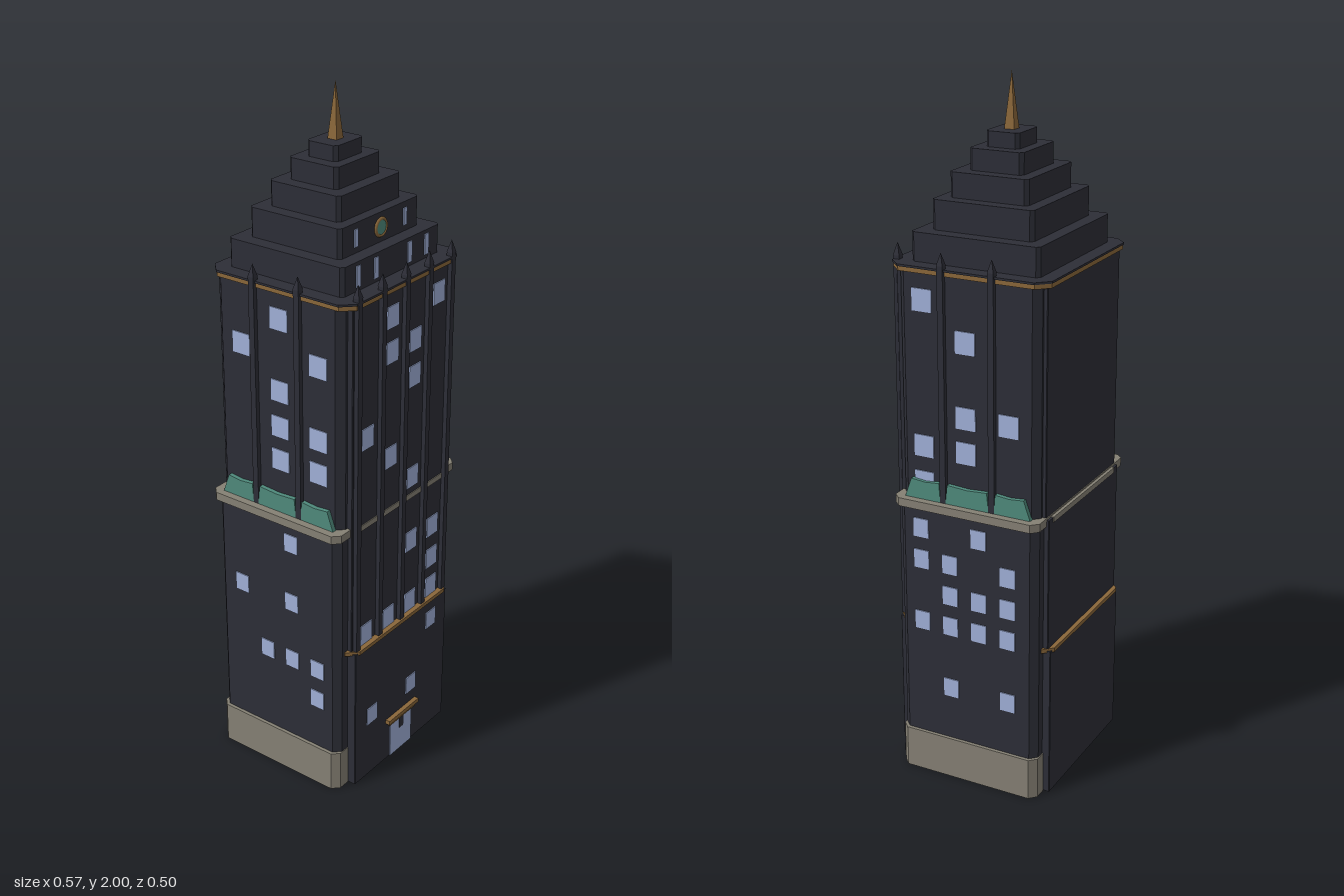
import * as THREE from 'three';

const mat = (name, color) => {
  const m = new THREE.MeshStandardMaterial({ color });
  m.name = name;
  return m;
};

export function createModel() {
  const tower = new THREE.Group();
  tower.name = 'tower';
  const dark = mat('dark stone', 0x2d2e37);
  const stone = mat('pale stone', 0x858074);
  const gold = mat('bronze', 0x8a673a);
  const glass = mat('window glass', 0xa0b0d8);
  const green = mat('green copper', 0x4f8a7c);

  const add = (name, geo, material, x = 0, y = 0, z = 0) => {
    const m = new THREE.Mesh(geo, material);
    m.name = name;
    m.position.set(x, y, z);
    tower.add(m);
    return m;
  };

  // Block with chamfered plan corners: half width, back z, front z, bottom, top, chamfer
  const block = (name, material, hx, z0, z1, y0, y1, c) => {
    const s = new THREE.Shape([
      [-hx + c, -z1], [hx - c, -z1], [hx, -z1 + c], [hx, -z0 - c],
      [hx - c, -z0], [-hx + c, -z0], [-hx, -z0 - c], [-hx, -z1 + c],
    ].map(([a, b]) => new THREE.Vector2(a, b)));
    const g = new THREE.ExtrudeGeometry(s, { depth: y1 - y0, bevelEnabled: false });
    return add(name, g.rotateX(-Math.PI / 2), material, 0, y0, 0);
  };

  // Base and shaft: chamfered sides crossed by a front-to-back slab
  block('baseSides', stone, 0.28, -0.225, 0.21, 0, 0.125, 0.02);
  block('lowerSides', dark, 0.27, -0.222, 0.208, 0.125, 0.84, 0.02);
  block('baseSlab', dark, 0.225, -0.245, 0.236, 0.003, 0.455, 0.002);
  block('middleSlab', dark, 0.225, -0.237, 0.222, 0.455, 0.85, 0.002);
  block('upperSides', dark, 0.252, -0.217, 0.205, 0.85, 1.5, 0.02);
  block('upperSlab', dark, 0.225, -0.228, 0.222, 0.85, 1.5, 0.002);

  // Bands and roof edge
  block('lowerBand', gold, 0.24, -0.25, 0.24, 0.45, 0.462, 0.03);
  block('ledge', stone, 0.287, -0.23, 0.217, 0.832, 0.856, 0.02);
  block('ledgeFace', stone, 0.2, -0.239, 0.225, 0.836, 0.852, 0.002);
  block('upperBand', gold, 0.256, -0.238, 0.232, 1.496, 1.509, 0.033);
  block('roofEdge', dark, 0.26, -0.24, 0.235, 1.509, 1.515, 0.035);

  // Stepped crown: half width, back, front, bottom, top
  [
    [0.216, -0.198, 0.182, 1.51, 1.595],
    [0.174, -0.159, 0.141, 1.595, 1.677],
    [0.135, -0.123, 0.109, 1.677, 1.746],
    [0.096, -0.088, 0.071, 1.746, 1.805],
    [0.06, -0.057, 0.041, 1.805, 1.847],
  ].forEach(([hx, z0, z1, y0, y1]) => block('crownTier', dark, hx, z0, z1, y0, y1, 0.01));
  const spire = new THREE.ConeGeometry(0.021, 0.153, 4).rotateY(Math.PI / 4).toNonIndexed();
  spire.computeVertexNormals();
  add('spire', spire, gold, 0, 1.9235, -0.007);

  // Pointed piers
  const pier = (x, z, y0) => {
    const top = 1.525;
    add('pier', new THREE.BoxGeometry(0.018, top - y0, 0.018), dark, x, (top + y0) / 2, z);
    const tip = new THREE.ConeGeometry(0.0135, 0.035, 4).rotateY(Math.PI / 4).toNonIndexed();
    tip.computeVertexNormals();
    add('pierTip', tip, dark, x, top + 0.0175, z);
  };
  [-0.21, -0.105, 0, 0.105, 0.21].forEach((x) => pier(x, 0.226, 0.462));
  for (const s of [-1, 1]) for (const z of [-0.082, 0.068]) pier(s * 0.256, z, 0.856);

  // Copper panels above the side ledges: z range at the bottom, then at the top
  const panels = [[-0.2, -0.09, -0.18, -0.094], [-0.074, 0.06, -0.068, 0.054], [0.076, 0.187, 0.08, 0.167]];
  for (const s of [-1, 1]) {
    for (const [a, b, c, d] of panels) {
      const shape = new THREE.Shape([[-b, 0], [-a, 0], [-c, 0.056], [-(c + d) / 2, 0.052], [-d, 0.056]]
        .map(([u, v]) => new THREE.Vector2(u, v)));
      const g = new THREE.ExtrudeGeometry(shape, { depth: 0.02, bevelEnabled: false });
      g.rotateY(Math.PI / 2);
      add('copperPanel', g, green, s > 0 ? 0.245 : -0.265, 0.856, 0);
    }
  }

  // Windows as thin plates
  const frontWindow = (x, y, z, w = 0.053, h = 0.063) =>
    add('frontWindow', new THREE.BoxGeometry(w, h, 0.006), glass, x, y, z);
  const sideWindow = (x, y, z, w, h) =>
    add('sideWindow', new THREE.BoxGeometry(0.006, h, w), glass, x, y, z);

  [
    [-0.053, 1.423], [0.16, 1.423], [-0.053, 1.322], [0.053, 1.322], [0.053, 1.216],
    [-0.16, 1.11], [-0.053, 1.01], [0.053, 0.904], [0.053, 0.697], [0.16, 0.697],
    [0.16, 0.591], [-0.16, 0.493], [-0.053, 0.493], [0.053, 0.493], [0.16, 0.493],
  ].forEach(([x, y]) => frontWindow(x, y, 0.222));
  [[0.145, 0.39], [-0.145, 0.21], [0.048, 0.21]].forEach(([x, y]) => frontWindow(x, y, 0.236, 0.048, 0.056));
  for (const s of [-1, 1]) {
    frontWindow(s * 0.152, 1.555, 0.182, 0.018, 0.058);
    frontWindow(s * 0.075, 1.555, 0.182, 0.018, 0.058);
    frontWindow(s * 0.108, 1.636, 0.141, 0.015, 0.048);
  }

  const upperRight = [[0.13, 1.423], [0, 1.322], [0, 1.11], [-0.13, 1.11], [0.13, 1.01], [0, 1.01], [0.13, 0.904]];
  const upperLeft = [[0, 1.423], [0.13, 1.322], [-0.13, 1.322], [0, 1.216], [0, 1.11], [0.13, 1.11], [0, 1.01], [0.13, 1.01]];
  const lowerRight = [
    [0.135, 0.771], [-0.045, 0.771], [0.135, 0.676], [0.045, 0.676], [-0.135, 0.676],
    [0.045, 0.58], [-0.045, 0.58], [-0.135, 0.58], [0.135, 0.485], [0.045, 0.485],
    [-0.045, 0.485], [-0.135, 0.485], [0.045, 0.289], [-0.135, 0.289],
  ];
  const lowerLeft = [[0.045, 0.771], [0.045, 0.58], [-0.135, 0.58], [0.135, 0.39], [0.045, 0.39], [-0.045, 0.39], [0.135, 0.289]];
  [[1, upperRight, lowerRight], [-1, upperLeft, lowerLeft]].forEach(([s, up, low]) => {
    up.forEach(([z, y]) => sideWindow(s * 0.252, y, z, 0.06, 0.063));
    low.forEach(([z, y]) => sideWindow(s * 0.27, y, z, 0.047, 0.056));
  });

  // Round clock on the crown
  add('clockFace', new THREE.CylinderGeometry(0.022, 0.022, 0.006, 24).rotateX(Math.PI / 2), green, 0, 1.636, 0.142);
  add('clockRing', new THREE.TorusGeometry(0.023, 0.005, 6, 24), gold, 0, 1.636, 0.142);

  // Entrance
  add('door', new THREE.BoxGeometry(0.106, 0.122, 0.006), glass, 0, 0.064, 0.236);
  add('doorPanel', new THREE.BoxGeometry(0.02, 0.045, 0.006), dark, 0, 0.103, 0.238);
  add('canopyTrim', new THREE.BoxGeometry(0.125, 0.012, 0.016), gold, 0, 0.126, 0.236);
  add('canopy', new THREE.BoxGeometry(0.148, 0.013, 0.03), gold, 0, 0.138, 0.235);

  return tower;
}
